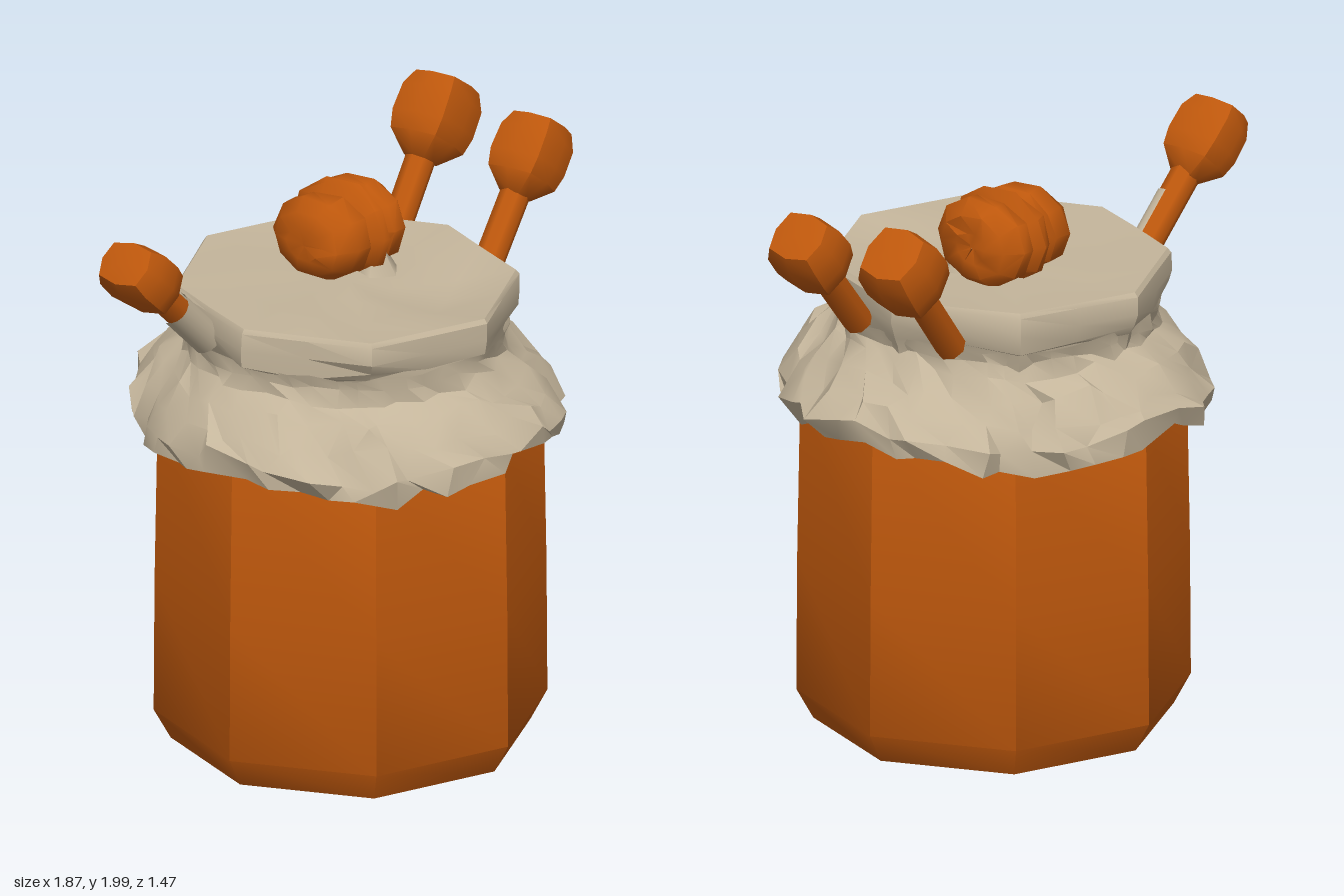
import * as THREE from 'three';
import { toCreasedNormals } from 'three/addons/utils/BufferGeometryUtils.js';

const V = (x, y, z) => new THREE.Vector3(x, y, z);
const honey = new THREE.MeshStandardMaterial({ color: 0xbd570c });
honey.name = 'honeyOrange';
const cloth = new THREE.MeshStandardMaterial({ color: 0xc4b59b, side: THREE.DoubleSide });
cloth.name = 'clothCream';

// repeatable pseudo-random value in -1..1
const noise = (a, b) => {
  const s = Math.sin(a * 127.1 + b * 311.7) * 43758.5453;
  return (s - Math.floor(s)) * 2 - 1;
};

// lathe of [radius, y] points, listed bottom to top; rule moves each vertex (v, ring, side)
function turned(profile, sides, crease, rule) {
  const geo = new THREE.LatheGeometry(profile.map(p => new THREE.Vector2(...p)), sides);
  if (rule) {
    const pos = geo.attributes.position, v = V(0, 0, 0);
    for (let i = 0; i < pos.count; i++) {
      v.fromBufferAttribute(pos, i);
      rule(v, i % profile.length, Math.floor(i / profile.length) % sides);
      pos.setXYZ(i, v.x, v.y, v.z);
    }
  }
  return toCreasedNormals(geo, crease);
}

function add(parent, name, geo, material) {
  const mesh = new THREE.Mesh(geo, material);
  mesh.name = name;
  parent.add(mesh);
  return mesh;
}

// places a mesh modelled along y so that it points along dir
function aim(mesh, centre, dir) {
  mesh.position.copy(centre);
  mesh.quaternion.setFromUnitVectors(V(0, 1, 0), dir.clone().normalize());
  return mesh;
}

function rod(parent, name, from, to, radius, material, start = 0, arc = Math.PI * 2) {
  const dir = to.clone().sub(from);
  const geo = new THREE.CylinderGeometry(radius, radius, dir.length(), 8, 1, arc < 6, start, arc);
  return aim(add(parent, name, geo, material), from.clone().lerp(to, 0.5), dir);
}

// stick with a chunky, roughly square head
function dipper(name, foot, head, size, thickness) {
  const group = new THREE.Group();
  group.name = name;
  const dir = head.clone().sub(foot);
  rod(group, 'stick', foot, head, 0.05, honey);
  const geo = turned([[0, -0.16], [0.05, -0.155], [0.108, -0.09], [0.12, -0.03], [0.118, 0.06], [0.095, 0.115],
    [0, 0.13]], 8, 0.9, (v, ring, side) => {
    const square = side % 2 ? 1.16 : 1;
    v.x *= square * thickness * (1 + 0.03 * noise(ring, side));
    v.z *= square;
  });
  aim(add(group, 'dipperHead', geo, honey), head, dir).scale.setScalar(size);
  return group;
}

export function createModel() {
  const model = new THREE.Group();
  model.name = 'honeyJar';

  // eight-sided jar with a bevelled foot
  const jar = add(model, 'jar', turned([[0, 0], [0.46, 0.01], [0.58, 0.04], [0.635, 0.14], [0.632, 0.6],
    [0.622, 1.17], [0.58, 1.24], [0.46, 1.38]], 8, 0.76), honey);
  jar.position.set(-0.008, 0, 0.015);

  // cloth stretched over the lid, with a few shallow folds on top
  add(model, 'lidCloth', turned([[0.5, 1.34], [0.51, 1.4], [0.525, 1.455], [0.55, 1.475], [0.562, 1.53],
    [0.56, 1.59], [0.548, 1.605], [0.36, 1.6], [0.18, 1.6], [0, 1.6]], 16, 0.5, (v, ring, side) => {
    // odd sides fall on the flats of the octagon
    const flat = side % 2 ? Math.cos(Math.PI / 8) : 1;
    const k = flat * (1 + (ring < 4 ? 0.02 : 0.006) * noise(side, ring));
    v.x = v.x * 0.98 * k - 0.012;
    v.z *= 1.015 * k;
    if (ring < 4) v.y += 0.018 * noise(ring, side);
    if (ring === 7) v.y += 0.01 * noise(side, 3) - (side < 3 ? 0.03 : 0);
    if (ring === 8 && side < 5) v.y -= 0.015;
  }), cloth);

  // crumpled skirt: hem dips at the diagonals, folds run in and out
  const sides = 44;
  const rows = [[0.685, 1.125], [0.7, 1.19], [0.645, 1.26], [0.585, 1.33], [0.525, 1.385], [0.515, 1.425], [0.525, 1.47]];
  add(model, 'clothSkirt', turned(rows, sides, 0.5, (v, ring, side) => {
    const angle = side / sides * Math.PI * 2;
    const out = [1, 1, 1, 0.9, 0.7, 0.5, 0.3][ring];
    const axis = Math.cos(angle * 4);
    const fold = 0.016 * Math.sin(side * 2.2) + 0.034 * noise(side, ring);
    const r = rows[ring][0] * (1 + out * (fold + (ring < 3 ? 0.025 : 0.01) * axis));
    const turn = 0.065 * out * noise(ring + 9, side);
    v.set(Math.sin(angle + turn) * r * 0.98 - 0.012,
      v.y + out * ((ring < 2 ? 0.035 : 0.015) * axis + 0.024 * noise(side + 5, ring + 2)),
      Math.cos(angle + turn) * r * 1.01);
  }), cloth);

  // grooved dipper lying on the lid, rings stacked along x
  const top = add(model, 'lidDipper', turned([[0, -0.19], [0.07, -0.2], [0.13, -0.18], [0.17, -0.12],
    [0.175, -0.05], [0.145, -0.025], [0.185, 0], [0.195, 0.03], [0.145, 0.06], [0.175, 0.085], [0.18, 0.14],
    [0.13, 0.19], [0.06, 0.2], [0, 0.19]], 10, 0.9, (v, ring, side) => {
    v.x = v.x * 0.82 + 0.007 * noise(ring, side);
    v.y = v.y * 0.92 + 0.01 * noise(side, ring);
  }), honey);
  top.rotation.z = -Math.PI / 2;
  top.position.set(0.068, 1.725, -0.095);
  const tuft = add(model, 'clothTuft', new THREE.ConeGeometry(0.075, 0.12, 5), cloth);
  tuft.position.set(0.12, 1.65, 0.025);

  // dippers tucked into the cloth: two on the left, one on the right
  model.add(dipper('leftBackDipper', V(0.5, 1.49, -0.215), V(0.785, 1.835, -0.25), 1.0, 1));
  model.add(dipper('leftFrontDipper', V(0.5, 1.49, 0.165), V(0.775, 1.805, 0.14), 0.95, 0.93));
  model.add(dipper('rightDipper', V(-0.49, 1.51, -0.205), V(-0.81, 1.815, -0.215), 0.96, 0.8));

  // strip of cloth caught on the front of the right stick
  rod(model, 'stickCloth', V(-0.48, 1.5, -0.207), V(-0.645, 1.658, -0.212), 0.056, cloth, -Math.PI / 2, Math.PI);

  return model;
}
